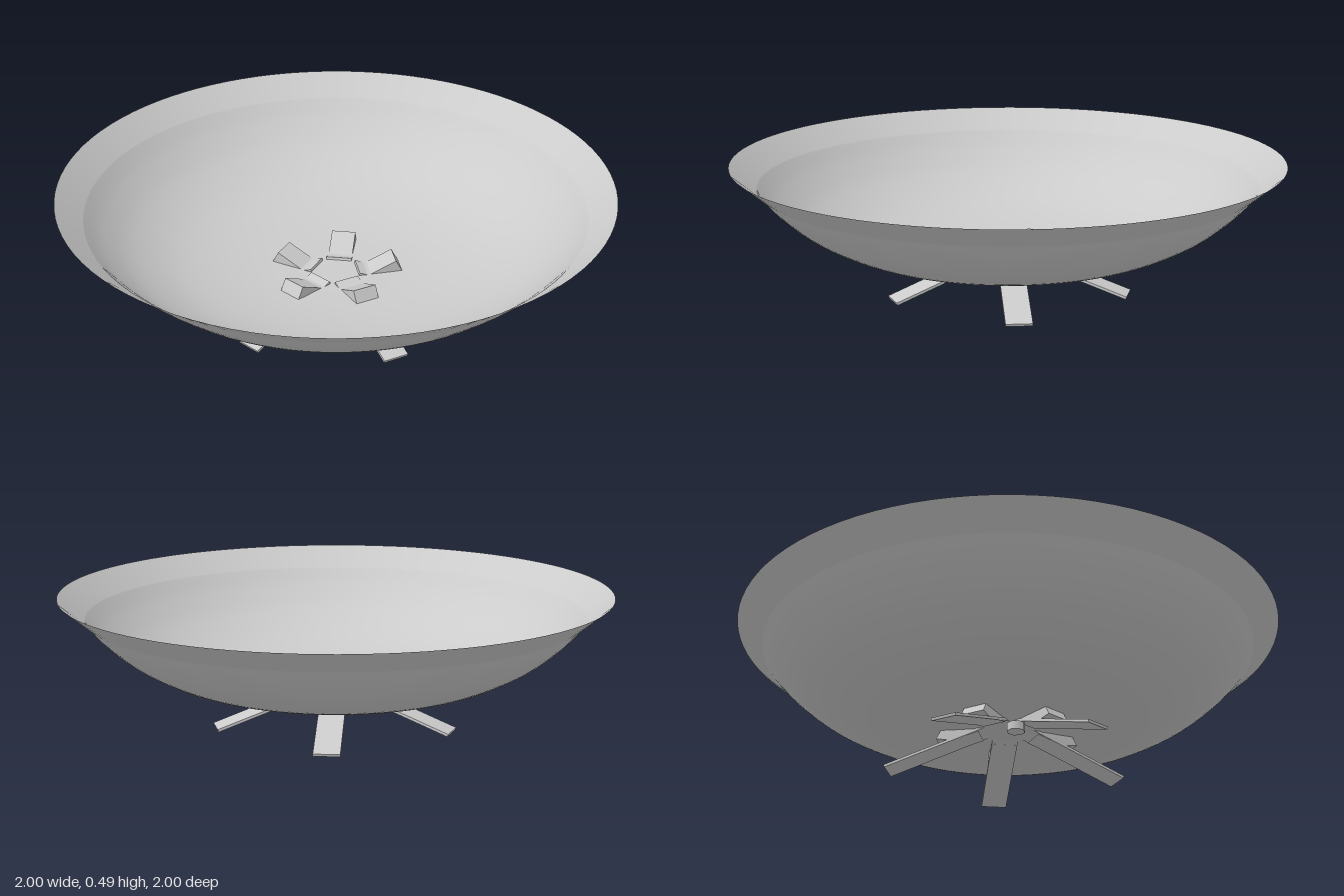
import * as THREE from 'three';

export function createModel() {
  const model = new THREE.Group();
  const grey = new THREE.MeshStandardMaterial({ color: 0xcccccc, side: THREE.DoubleSide });
  const add = (parent, name, geometry) => {
    const mesh = new THREE.Mesh(geometry, grey);
    mesh.name = name;
    parent.add(mesh);
    return mesh;
  };
  const v = (x, y) => new THREE.Vector2(x, y);

  // Thin-walled bowl with a rounded belly
  const belly = new THREE.SplineCurve([
    v(0, 0.125), v(0.25, 0.13), v(0.44, 0.153), v(0.6, 0.195),
    v(0.74, 0.265), v(0.84, 0.345), v(0.905, 0.415),
  ]);
  add(model, 'bowl', new THREE.LatheGeometry(belly.getPoints(30), 96));

  // Flared rim, a separate surface so the crease stays sharp
  add(model, 'rim', new THREE.LatheGeometry([v(0.905, 0.415), v(1, 0.495)], 96));

  // Side profile of the wedge that clamps each leg through the bowl floor
  const wedge = new THREE.Shape([v(0.1, 0.115), v(0.218, 0.172), v(0.258, 0.098), v(0.2, 0.088)]);
  const wedgeGeometry = new THREE.ExtrudeGeometry(wedge, { depth: 0.09, bevelEnabled: false });
  wedgeGeometry.translate(0, 0, -0.045);

  // Flat leg sloping from the bowl down to the ground
  const inner = v(0.08, 0.131), outer = v(0.45, 0.006);
  const legGeometry = new THREE.BoxGeometry(inner.distanceTo(outer), 0.01, 0.095);
  legGeometry.rotateZ(Math.atan2(outer.y - inner.y, outer.x - inner.x));
  legGeometry.translate((inner.x + outer.x) / 2, (inner.y + outer.y) / 2, 0);

  // Five legs, one of them pointing to the right
  for (let i = 0; i < 5; i++) {
    const support = new THREE.Group();
    support.name = 'support';
    support.rotation.y = Math.PI + (i * Math.PI * 2) / 5;
    add(support, 'leg', legGeometry);
    add(support, 'legWedge', wedgeGeometry);
    model.add(support);
  }

  // Small bolt between two legs
  const bolt = add(model, 'bolt', new THREE.CylinderGeometry(0.032, 0.032, 0.03, 8));
  bolt.position.set(-0.178, 0.042, 0.13);

  return model;
}
